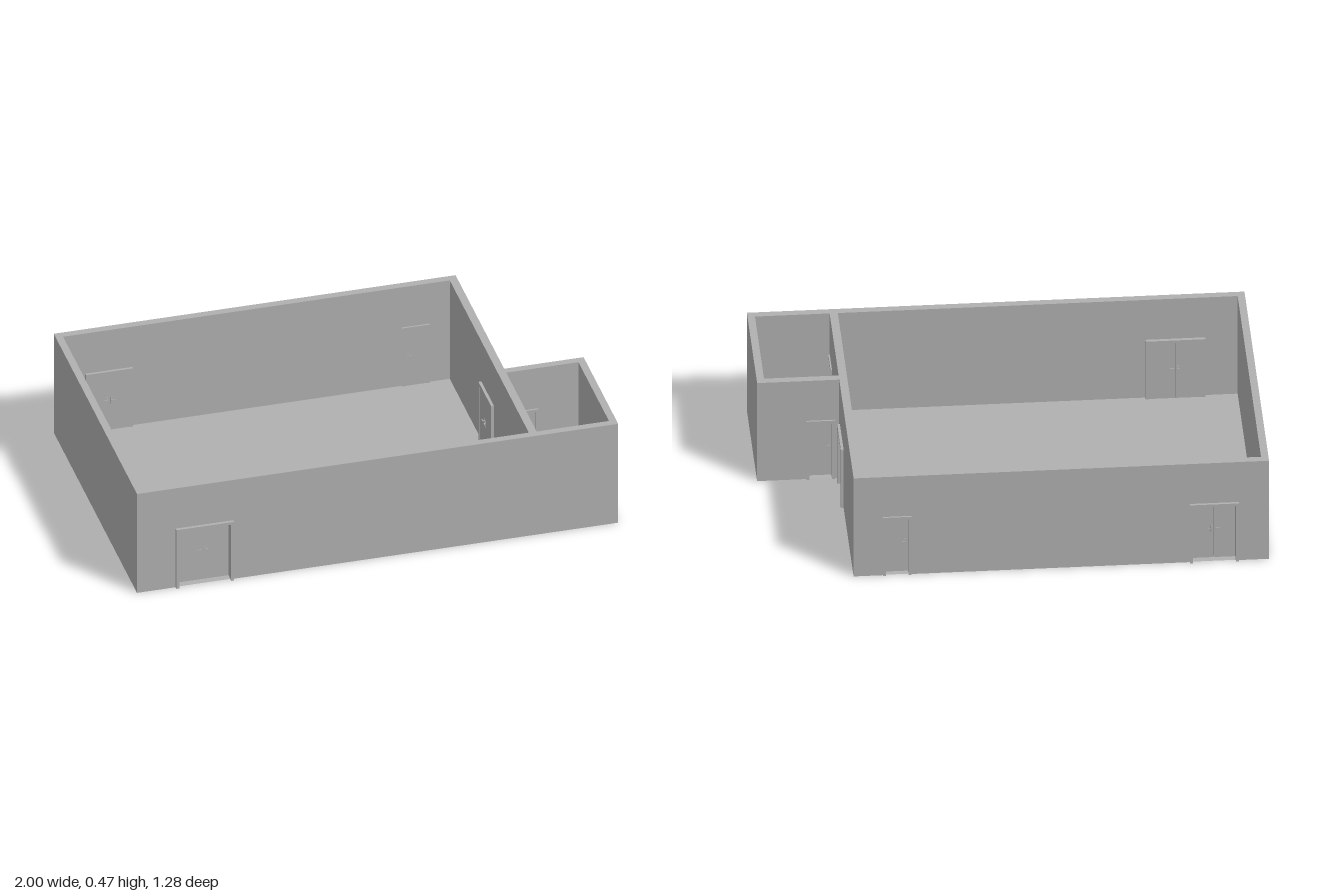
import * as THREE from 'three';

const H = 0.467;          // wall height
const DOOR_H = 0.277;     // door frame height
const TRIM = 0.012;       // frame thickness

// axis: direction the wall runs along; c: centre along it; at: wall centre line; turn: outward side
const DOORS = {
  front: { axis: 'x', c: -0.72, at: 0.611, w: 0.24, depth: 0.058, turn: 0, double: true },
  back: { axis: 'x', c: -0.78, at: -0.614, w: 0.196, depth: 0.054, turn: Math.PI, double: true },
  backSide: { axis: 'x', c: 0.495, at: -0.614, w: 0.115, depth: 0.046, turn: Math.PI },
  side: { axis: 'z', c: -0.025, at: 0.653, w: 0.192, depth: 0.056, turn: Math.PI / 2, double: true },
  partition: { axis: 'z', c: 0.53, at: 0.653, w: 0.118, depth: 0.046, turn: Math.PI / 2 },
  annex: { axis: 'x', c: 0.745, at: 0.12, w: 0.115, depth: 0.046, turn: Math.PI },
};

// Wall skins: axis, fixed coordinate, start, end, doorways
const WALLS = [
  ['x', 0.627, -1, 1, ['front']], ['x', 0.596, -0.97, 0.637, ['front']], ['x', 0.596, 0.67, 0.97, []],
  ['x', -0.63, -1, 0.67, ['back', 'backSide']], ['x', -0.598, -0.97, 0.637, ['back', 'backSide']],
  ['z', -1, -0.63, 0.627, []], ['z', -0.97, -0.598, 0.596, []],
  ['z', 0.637, -0.598, 0.596, ['side', 'partition']],
  ['z', 0.67, -0.63, 0.104, ['side']], ['z', 0.67, 0.135, 0.596, ['partition']],
  ['x', 0.104, 0.67, 1, ['annex']], ['x', 0.135, 0.67, 0.97, ['annex']],
  ['z', 1, 0.104, 0.627, []], ['z', 0.97, 0.135, 0.596, []],
];

export function createModel() {
  const grey = new THREE.MeshStandardMaterial({ color: 0xb0b0b0, side: THREE.DoubleSide });
  grey.name = 'plaster grey';
  const model = new THREE.Group();
  model.name = 'building';

  const add = (parent, name, geometry, x = 0, y = 0, z = 0) => {
    const mesh = new THREE.Mesh(geometry, grey);
    mesh.name = name;
    mesh.position.set(x, y, z);
    parent.add(mesh);
    return mesh;
  };
  const box = (parent, name, w, h, d, x, y, z) =>
    add(parent, name, new THREE.BoxGeometry(w, h, d), x, y, z);

  // Wall skins, notched around the doorways
  for (const [axis, at, from, to, doors] of WALLS) {
    const s = new THREE.Shape();
    s.moveTo(from, 0);
    for (const name of doors) {
      const { c, w } = DOORS[name], half = w / 2 - TRIM / 2, top = DOOR_H - TRIM / 2;
      s.lineTo(c - half, 0);
      s.lineTo(c - half, top);
      s.lineTo(c + half, top);
      s.lineTo(c + half, 0);
    }
    s.lineTo(to, 0);
    s.lineTo(to, H);
    s.lineTo(from, H);
    const wall = add(model, 'wall', new THREE.ShapeGeometry(s));
    if (axis === 'x') wall.position.z = at;
    else {
      wall.position.x = at;
      wall.rotation.y = -Math.PI / 2;
    }
  }

  // Rim closing the tops of the walls
  const plan = (Path, pts) => new Path(pts.map(([x, z]) => new THREE.Vector2(x, -z)));
  const rim = plan(THREE.Shape, [[-1, 0.627], [1, 0.627], [1, 0.104], [0.67, 0.104], [0.67, -0.63], [-1, -0.63]]);
  const rooms = [[-0.97, 0.637, -0.598, 0.596], [0.67, 0.97, 0.135, 0.596]];
  for (const [x0, x1, z0, z1] of rooms) {
    rim.holes.push(plan(THREE.Path, [[x0, z0], [x1, z0], [x1, z1], [x0, z1]]));
  }
  add(model, 'wallTop', new THREE.ShapeGeometry(rim), 0, H).rotation.x = -Math.PI / 2;

  // Room floors
  const floor = (parent, name, w, d, x, z) =>
    add(parent, name, new THREE.PlaneGeometry(w, d).rotateX(-Math.PI / 2), x, 0.002, z);
  for (const [x0, x1, z0, z1] of rooms) {
    floor(model, 'floor', x1 - x0, z1 - z0, (x0 + x1) / 2, (z0 + z1) / 2);
  }

  // Doors: local +z is the outside, leaves sit near the inside
  for (const [name, d] of Object.entries(DOORS)) {
    const door = new THREE.Group();
    door.name = name + 'Door';
    door.position.set(d.axis === 'x' ? d.c : d.at, 0, d.axis === 'x' ? d.at : d.c);
    door.rotation.y = d.turn;
    model.add(door);

    for (const s of [-1, 1]) {
      box(door, 'doorJamb', TRIM, DOOR_H, d.depth, s * (d.w - TRIM) / 2, DOOR_H / 2, 0);
    }
    box(door, 'doorHead', d.w - 2 * TRIM, TRIM, d.depth, 0, DOOR_H - TRIM / 2, 0);
    floor(door, 'threshold', d.w - 2 * TRIM, 0.032, 0, 0);

    const open = d.w - 2 * TRIM, thick = 0.014, leafH = DOOR_H - TRIM - 0.002;
    const z = -d.depth / 2 + thick / 2 + 0.002;
    const leafW = (d.double ? open / 2 : open) - 0.001;
    for (const s of d.double ? [-1, 1] : [1]) {
      box(door, 'doorLeaf', leafW, leafH, thick, d.double ? s * open / 4 : 0, leafH / 2 + 0.001, z);
      // Plate, spindle and lever on both faces
      const hx = d.double ? s * 0.009 : open / 2 - 0.01;
      const inward = d.double ? s : -1;
      for (const f of [-1, 1]) {
        const face = z + f * thick / 2;
        box(door, 'handlePlate', 0.007, 0.032, 0.002, hx, 0.139, face + f * 0.001);
        const spindle = new THREE.CylinderGeometry(0.002, 0.002, 0.008, 8).rotateX(Math.PI / 2);
        add(door, 'handleSpindle', spindle, hx, 0.145, face + f * 0.005);
        box(door, 'handleLever', 0.016, 0.003, 0.003, hx + inward * 0.006, 0.145, face + f * 0.0085);
      }
    }
  }
  return model;
}
